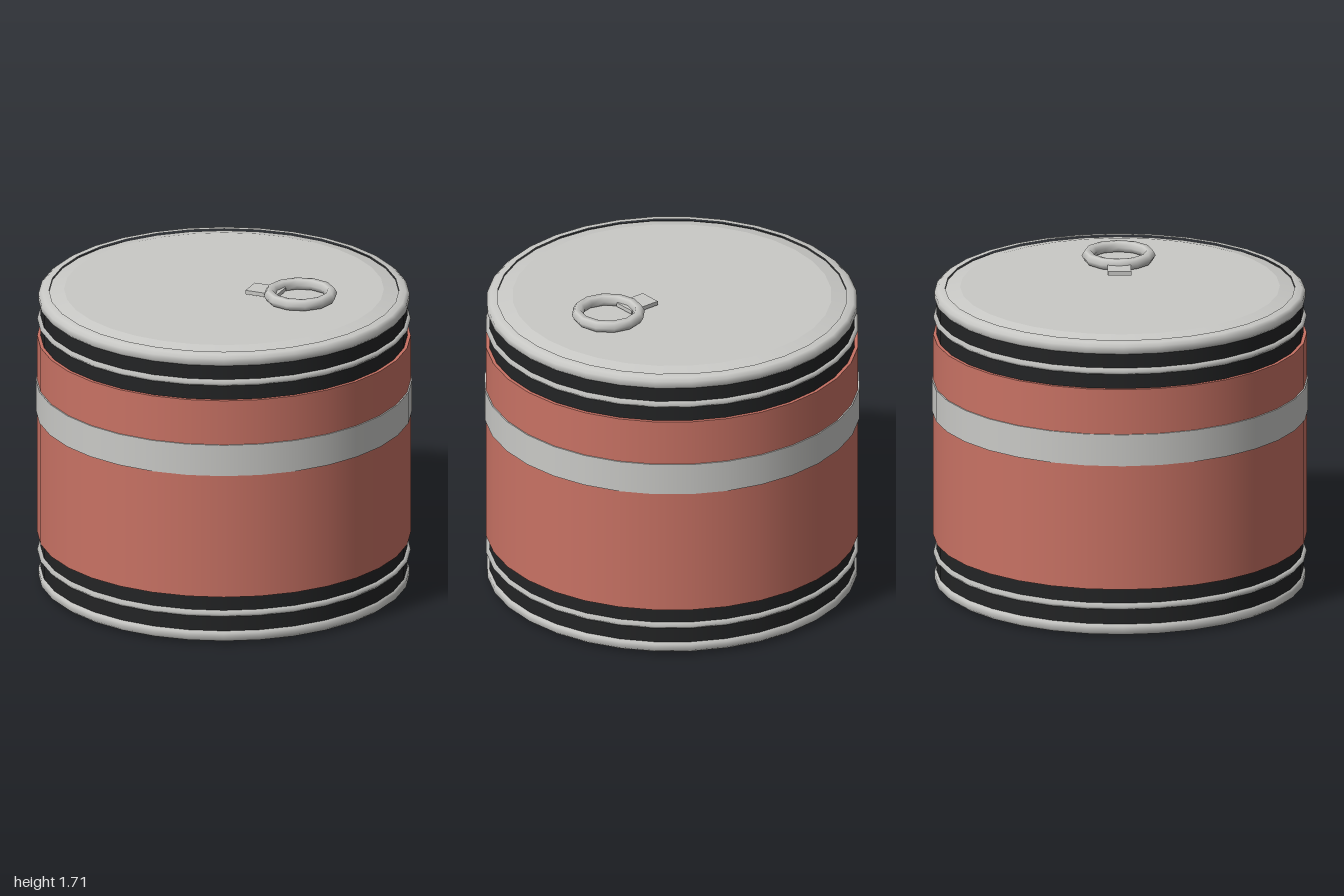
import * as THREE from 'three';

const SIDES = 32;
const HEIGHT = 1.648; // drum height without the ring pull

export function createModel() {
  const group = new THREE.Group();
  const material = (name, color) => {
    const m = new THREE.MeshStandardMaterial({ color });
    m.name = name;
    return m;
  };
  const silver = material('silver', 0xc9c9c6);
  const red = material('red', 0xc87264);
  const black = material('black', 0x232425);

  const add = (name, geometry, mat, x = 0, y = 0, z = 0) => {
    const mesh = new THREE.Mesh(geometry, mat);
    mesh.name = name;
    mesh.position.set(x, y, z);
    group.add(mesh);
    return mesh;
  };
  // closed cylinder spanning two heights
  const band = (name, radius, y0, y1, mat) =>
    add(name, new THREE.CylinderGeometry(radius, radius, y1 - y0, SIDES), mat, 0, (y0 + y1) / 2);
  const lathe = (name, points, mat) =>
    add(name, new THREE.LatheGeometry(points.map(([r, y]) => new THREE.Vector2(r, y)), SIDES), mat);
  const mirrored = (points) => points.map(([r, y]) => [r, HEIGHT - y]).reverse();

  // wall, painted body and stripe
  band('innerWall', 0.975, 0.04, 1.61, black);
  band('body', 0.993, 0.27, 1.385, red);
  band('stripe', 1.0, 0.96, 1.135, silver);

  // rolled rims at both ends
  const rim = [[0.93, 1.57], [0.972, 1.573], [0.987, 1.588], [0.987, 1.62], [0.968, 1.636], [0.93, 1.64]];
  lathe('topRim', rim, silver);
  lathe('bottomRim', mirrored(rim), silver);

  // thin raised hoops
  for (const [name, y] of [['lowerHoop', 0.171], ['upperHoop', 1.481]]) {
    const hoop = new THREE.TorusGeometry(0.975, 0.018, 4, SIDES).rotateX(Math.PI / 2);
    add(name, hoop, silver, 0, y);
  }

  // lid with a sloping border, and base
  lathe('lidBorder', [[0.93, 1.63], [0.85, HEIGHT]], silver);
  const lid = new THREE.CircleGeometry(0.85, SIDES).rotateX(-Math.PI / 2);
  add('lid', lid, silver, 0, HEIGHT);
  lathe('base', [[0, 0], [0.88, 0], [0.94, 0.014]], silver);

  // ring pull and its tab
  const ring = new THREE.TorusGeometry(0.165, 0.032, 6, 12).rotateX(Math.PI / 2);
  add('pullRing', ring, silver, 0.44, 1.681);
  add('pullTab', new THREE.BoxGeometry(0.18, 0.022, 0.125), silver, 0.24, 1.672);

  return group;
}
